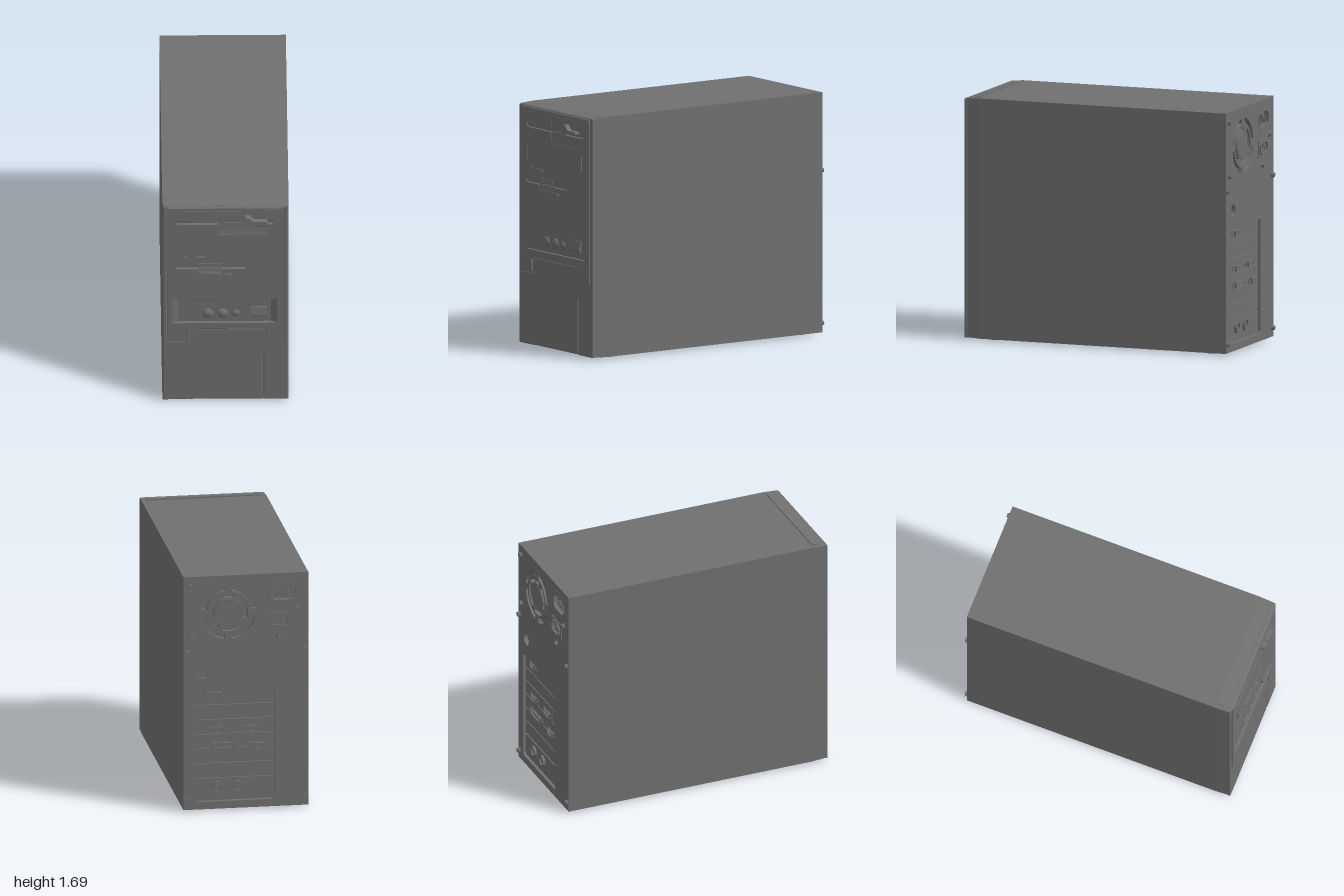
import * as THREE from 'three';

const mat = new THREE.MeshStandardMaterial({ color: 0x707070, side: THREE.DoubleSide });

export function createModel() {
  const root = new THREE.Group();

  const add = (name, geo, x = 0, y = 0, z = 0) => {
    const m = new THREE.Mesh(geo, mat);
    m.name = name;
    m.position.set(x, y, z);
    root.add(m);
    return m;
  };
  // box given by its limits
  const box = (name, x0, x1, y0, y1, z0, z1) =>
    add(name, new THREE.BoxGeometry(x1 - x0, y1 - y0, z1 - z0), (x0 + x1) / 2, (y0 + y1) / 2, (z0 + z1) / 2);
  const poly = (pts) => pts.map(([x, y]) => new THREE.Vector2(x, y));
  const rect = (x0, x1, y0, y1) => poly([[x0, y0], [x1, y0], [x1, y1], [x0, y1]]);
  const chamfered = (x0, x1, y0, y1, c) => poly([[x0 + c, y0], [x1 - c, y0], [x1, y0 + c], [x1, y1 - c],
    [x1 - c, y1], [x0 + c, y1], [x0, y1 - c], [x0, y0 + c]]);
  // outline between z0 and z1, with holes and an optional bevel
  const plate = (name, pts, z0, z1, holes = [], b = 0) => {
    const s = new THREE.Shape(pts);
    holes.forEach((h) => s.holes.push(new THREE.Path(h)));
    const geo = new THREE.ExtrudeGeometry(s, {
      depth: z1 - z0 - 2 * b, bevelEnabled: b > 0, bevelSize: b, bevelThickness: b,
      bevelOffset: -b, bevelSegments: 2,
    });
    return add(name, geo, 0, 0, z0 + b);
  };
  // side profile of [z, y] points swept from x0 to x1
  const sweepX = (name, pts, x0, x1) => {
    const geo = new THREE.ExtrudeGeometry(new THREE.Shape(poly(pts)), { depth: x1 - x0, bevelEnabled: false });
    geo.rotateY(-Math.PI / 2);
    return add(name, geo.translate(x1, 0, 0));
  };
  const disc = (name, x, y, z0, z1, r, r2 = r, n = 24) =>
    add(name, new THREE.CylinderGeometry(r2, r, z1 - z0, n).rotateX(Math.PI / 2), x, y, (z0 + z1) / 2);
  const circle = (x, y, r) => new THREE.Path().absarc(x, y, r, 0, Math.PI * 2).getPoints(14).slice(0, -1);

  // ---- case body
  box('caseBody', -0.433, 0.433, 0.013, 1.68, -0.95, 0.85);
  for (const x of [-0.33, 0.33]) for (const z of [0.75, -0.85])
    add('foot', new THREE.CylinderGeometry(0.05, 0.045, 0.02, 24), x, 0.01, z);

  // ---- front bezel, narrowing slightly towards the front
  const core = new THREE.BoxGeometry(0.866, 1.665, 0.095);
  const p = core.attributes.position;
  for (let i = 0; i < p.count; i++) if (p.getZ(i) > 0) {
    p.setX(i, p.getX(i) * 0.99);
    p.setY(i, p.getY(i) * 0.996);
  }
  core.computeVertexNormals();
  add('bezelCore', core, 0, 0.8465, 0.8975);
  // panel outline with small cut corners and a notch over the door; g shrinks it
  const panelOutline = (g, top) => poly([[-0.4 + g, 0.524 + g], [-0.392 + g, 0.516 + g], [-0.283 - g, 0.516 + g],
    [-0.275 - g, 0.524 + g], [-0.275 - g, 0.616 + g], [-0.267 - g, 0.624 + g], [0.267 + g, 0.624 + g],
    [0.275 + g, 0.616 + g], [0.275 + g, 0.524 + g], [0.283 + g, 0.516 + g], [0.392 - g, 0.516 + g],
    [0.4 - g, 0.524 + g], [0.4 - g, top], [-0.4 + g, top]]);
  plate('bezelFrame', poly([[-0.431, 0.015], [-0.259, 0.015], [-0.259, 0.607], [0.259, 0.607], [0.259, 0.015],
    [0.431, 0.015], [0.431, 1.667], [0.423, 1.675], [-0.423, 1.675], [-0.431, 1.667]]),
  0.93, 0.957, [panelOutline(0, 1.66)], 0.008);
  plate('lowerDoor', rect(-0.255, 0.255, 0.018, 0.603), 0.93, 0.957, [], 0.008);
  sweepX('topCap', [[0.85, 1.67], [0.935, 1.64], [0.964, 1.64], [0.964, 1.66], [0.955, 1.671], [0.85, 1.688]],
    -0.397, 0.397);

  // ---- raised drive panel with its openings
  const bigDrive = poly([[-0.33, 1.525], [-0.05, 1.525], [-0.05, 1.44], [0.29, 1.44], [0.29, 1.5], [0.12, 1.5],
    [0.12, 1.525], [0.325, 1.525], [0.325, 1.552], [0.12, 1.552], [0.12, 1.595], [-0.05, 1.595], [-0.05, 1.552],
    [-0.33, 1.552]]);
  const smallDrive = poly([[-0.34, 1.142], [-0.185, 1.142], [-0.185, 1.105], [-0.025, 1.105], [-0.025, 1.142],
    [0.135, 1.142], [0.135, 1.168], [-0.025, 1.168], [-0.025, 1.187], [-0.185, 1.187], [-0.185, 1.168], [-0.34, 1.168]]);
  plate('drivePanel', panelOutline(0.002, 1.64), 0.935, 0.964,
    [bigDrive, smallDrive, rect(-0.36, 0.35, 0.68, 0.88)], 0.003);

  // finger scoops and disk slots
  const scoop = (x0, x1, y0, y1) =>
    sweepX('fingerScoop', [[0.94, y0], [0.963, y0], [0.959, (y0 * 2 + y1) / 3], [0.956, y1], [0.94, y1]], x0, x1);
  scoop(-0.05, 0.12, 1.44, 1.53);
  scoop(0.12, 0.29, 1.44, 1.5);
  scoop(-0.185, -0.025, 1.105, 1.145);
  box('largeDriveBack', -0.05, 0.12, 1.552, 1.595, 0.94, 0.957);
  box('largeDriveFlap', -0.33, 0.325, 1.533, 1.552, 0.94, 0.956);
  box('smallDriveFlap', -0.34, 0.135, 1.15, 1.168, 0.94, 0.956);
  box('smallDriveLip', -0.185, -0.025, 1.172, 1.187, 0.94, 0.968);

  // drive lever: round hub with a flat handle
  const lever = new THREE.Shape();
  lever.moveTo(0.185, 1.545).lineTo(0.275, 1.545).quadraticCurveTo(0.288, 1.545, 0.288, 1.557)
    .quadraticCurveTo(0.288, 1.569, 0.275, 1.569).lineTo(0.205, 1.569)
    .quadraticCurveTo(0.19, 1.57, 0.175, 1.592).absarc(0.15, 1.571, 0.033, 0.7, Math.PI * 1.7)
    .lineTo(0.185, 1.545);
  plate('driveLever', lever.getPoints(10), 0.955, 1.0);

  // bay marks, lights and eject button
  for (const x of [-0.32, 0.315]) box('bayMark', x - 0.004, x + 0.004, 1.295, 1.39, 0.955, 0.971);
  disc('driveLight', -0.277, 1.243, 0.955, 0.972, 0.012, 0.012, 8);
  box('bayButton', -0.2, -0.135, 1.236, 1.25, 0.955, 0.974);
  box('ejectButton', 0.0, 0.045, 1.09, 1.103, 0.955, 0.976);

  // ---- control strip with ramped ends, domed buttons and a switch
  for (const [x, s] of [[-0.36, 1], [0.35, -1]])
    add('stripRamp', new THREE.ExtrudeGeometry(new THREE.Shape(poly([[0, 0], [0.04 * s, 0], [0, 0.018]])),
      { depth: 0.2, bevelEnabled: false }).rotateX(Math.PI / 2), x, 0.88, 0.944);
  for (const [x, r] of [[-0.12, 0.037], [-0.02, 0.037], [0.07, 0.028]])
    add('controlButton', new THREE.SphereGeometry(r, 24, 12).scale(1, 1, 0.5), x, 0.75, 0.945);
  sweepX('powerSwitch', [[0.94, 0.725], [0.95, 0.725], [0.964, 0.738], [0.952, 0.805], [0.94, 0.805]], 0.175, 0.285);

  // ---- back panel with fan vents, slot bay and cable hole
  const fx = 0.121, fy = 1.415;
  const vents = [];
  for (const [r0, r1, turn] of [[0.155, 0.19, 0.15], [0.105, 0.135, 0.6]])
    for (let k = 0; k < 4; k++) {
      const a = turn + k * Math.PI / 2, e = a + 1.3;
      vents.push(new THREE.Path().absarc(fx, fy, r1, a, e, false).absarc(fx, fy, r0, e, a, true).getPoints(10));
    }
  const inlet = chamfered(-0.345, -0.175, 1.49, 1.595, 0.025);
  plate('backPanel', rect(-0.433, 0.433, 0.013, 1.68), -0.98, -0.95,
    [...vents, chamfered(-0.2, 0.355, 0.066, 0.86, 0.015), circle(0.3, 0.99, 0.042), inlet]);
  add('fanHubRing', new THREE.TorusGeometry(0.09, 0.003, 6, 32), fx, fy, -0.98);

  // power sockets with three pins each
  const pins = (x, y, z) => [[-0.035, -0.01], [0, 0.015], [0.035, -0.01]].forEach(([dx, dy]) =>
    box('socketPin', x + dx - 0.006, x + dx + 0.006, y + dy - 0.016, y + dy + 0.016, z, z + 0.03));
  plate('powerInletRim', poly([[-0.325, 1.47], [-0.195, 1.47], [-0.155, 1.51], [-0.155, 1.575], [-0.195, 1.615],
    [-0.325, 1.615], [-0.365, 1.575], [-0.365, 1.51]]), -0.982, -0.97, [inlet]);
  pins(-0.26, 1.542, -0.976);
  plate('powerOutlet', rect(-0.315, -0.15, 1.29, 1.41), -0.987, -0.97, [chamfered(-0.295, -0.17, 1.312, 1.39, 0.02)]);
  plate('powerOutletCollar', chamfered(-0.3, -0.165, 1.305, 1.397, 0.022), -0.997, -0.98,
    [chamfered(-0.29, -0.175, 1.316, 1.386, 0.018)]);
  pins(-0.232, 1.35, -0.99);

  // expansion covers, stacked in the slot bay
  const pitch = 0.104;
  for (let i = 0; i < 6; i++) {
    const y = 0.855 - i * pitch;
    box('slotCover', -0.197, 0.352, y - pitch + 0.008, y, -0.962, -0.945);
  }
  box('portPlate', -0.197, 0.352, 0.072, 0.228, -0.962, -0.945);

  // D-shaped connectors and round ports
  const dPort = (x, y, w) => {
    const d = (h, k) => poly([[x - w / 2 + k, y + h], [x - w / 2 + 0.012 + k, y - h], [x + w / 2 - 0.012 - k, y - h],
      [x + w / 2 - k, y + h]]);
    plate('connectorFlange', chamfered(x - w / 2 - 0.028, x + w / 2 + 0.028, y - 0.026, y + 0.026, 0.008), -0.966, -0.955);
    plate('connectorShell', d(0.02, 0), -0.979, -0.96, [d(0.013, 0.008)]);
    for (const s of [-1, 1]) disc('connectorNut', x + s * (w / 2 + 0.014), y, -0.974, -0.96, 0.009, 0.009, 6);
  };
  dPort(0.215, 0.822, 0.08);
  dPort(0.2, 0.575, 0.08);
  dPort(-0.035, 0.575, 0.1);
  dPort(0.16, 0.462, 0.17);
  dPort(-0.09, 0.45, 0.09);
  for (const x of [0.2, 0.05]) {
    plate('roundPort', circle(x, 0.165, 0.04), -0.979, -0.955, [circle(x, 0.165, 0.028)]);
    disc('roundPortCore', x, 0.165, -0.974, -0.955, 0.014);
  }

  // case screws
  for (const [x, y] of [[0.386, 1.61], [0.378, 1.238], [0.411, 1.136], [-0.405, 1.136], [-0.355, 1.425],
    [-0.23, 1.228], [0.411, 0.075], [-0.408, 0.075]]) {
    disc('screwWasher', x, y, -0.985, -0.975, 0.02);
    disc('screwHead', x, y, -1.0, -0.98, 0.016, 0.018, 12);
  }
  return root;
}
